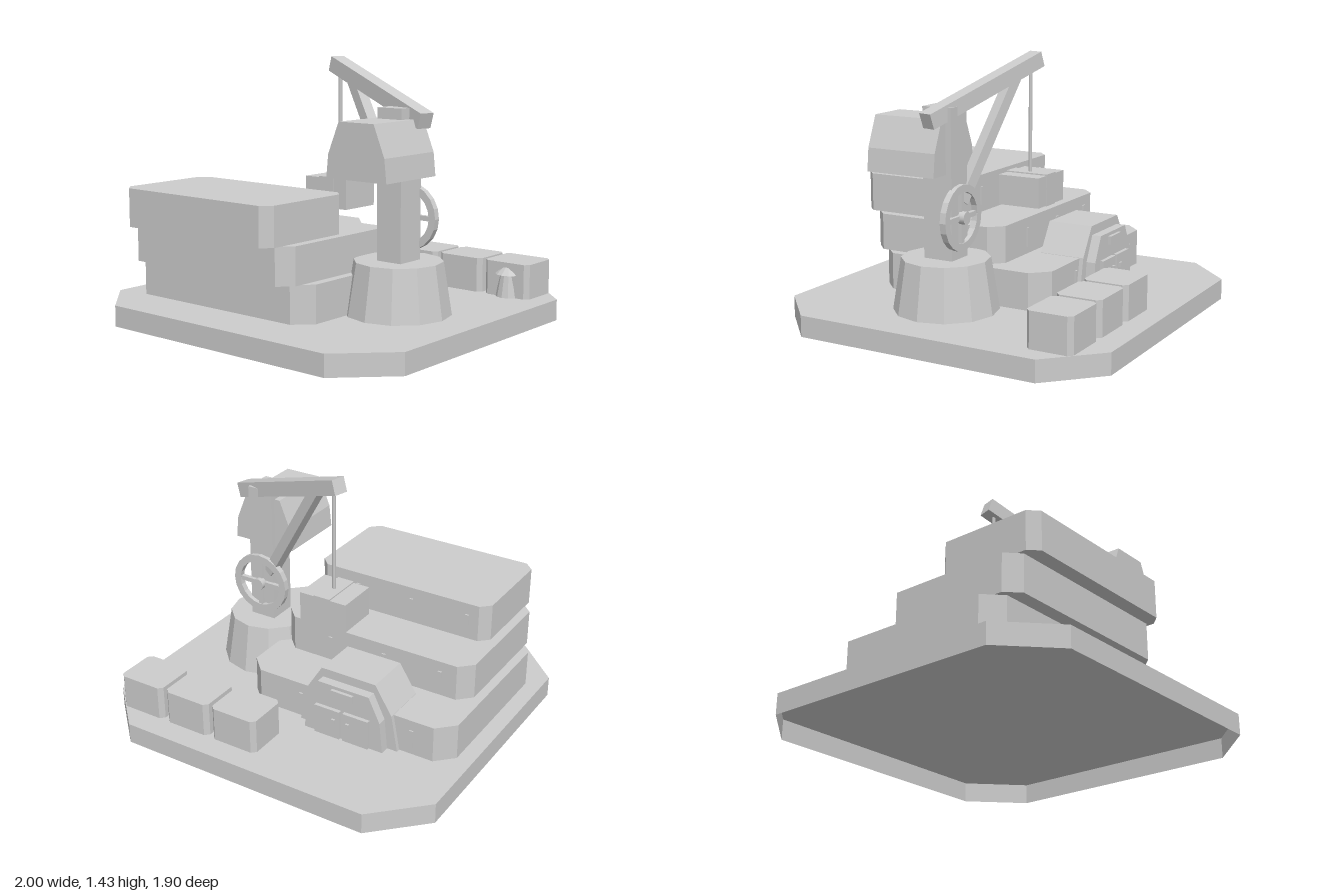
import * as THREE from 'three';

const grey = new THREE.MeshStandardMaterial({ color: 0xcccccc, side: THREE.DoubleSide });
grey.name = 'plain grey';

function add(parent, name, geometry, x = 0, y = 0, z = 0) {
  const mesh = new THREE.Mesh(geometry, grey);
  mesh.name = name;
  mesh.position.set(x, y, z);
  parent.add(mesh);
  return mesh;
}

// Box given by its lower and upper limits on each axis
function block(parent, name, x0, x1, y0, y1, z0, z1) {
  return add(parent, name, new THREE.BoxGeometry(x1 - x0, y1 - y0, z1 - z0),
    (x0 + x1) / 2, (y0 + y1) / 2, (z0 + z1) / 2);
}

// Upright slab with chamfered corners
function slab(parent, name, x0, x1, y0, y1, z0, z1, cx, cz = cx) {
  const w = (x1 - x0) / 2, d = (z1 - z0) / 2;
  const shape = new THREE.Shape([
    [w, -d + cz], [w, d - cz], [w - cx, d], [-w + cx, d],
    [-w, d - cz], [-w, -d + cz], [-w + cx, -d], [w - cx, -d],
  ].map(([x, y]) => new THREE.Vector2(x, y)));
  const geometry = new THREE.ExtrudeGeometry(shape, { depth: y1 - y0, bevelEnabled: false });
  geometry.rotateX(-Math.PI / 2);
  return add(parent, name, geometry, (x0 + x1) / 2, y0, (z0 + z1) / 2);
}

// Mirrored half profile (half width, height), bottom to top, extruded along z
function profile(parent, name, half, x, z0, z1) {
  const points = [...half, ...half.map(([px, py]) => [-px, py]).reverse()];
  const shape = new THREE.Shape(points.map(([px, py]) => new THREE.Vector2(px, py)));
  const geometry = new THREE.ExtrudeGeometry(shape, { depth: z1 - z0, bevelEnabled: false });
  return add(parent, name, geometry, x, 0, z0);
}

// Square beam between two points, kept upright
function beam(parent, name, a, b, size) {
  const from = new THREE.Vector3(...a), d = new THREE.Vector3(...b).sub(from);
  const mid = from.clone().addScaledVector(d, 0.5);
  const mesh = add(parent, name, new THREE.BoxGeometry(d.length(), size, size), mid.x, mid.y, mid.z);
  mesh.rotation.set(0, -Math.atan2(d.z, d.x), Math.atan2(d.y, Math.hypot(d.x, d.z)));
}

// Flat-faced turned shape
function turned(points, segments) {
  const geometry = new THREE.LatheGeometry(points.map(([r, y]) => new THREE.Vector2(r, y)), segments).toNonIndexed();
  geometry.computeVertexNormals();
  return geometry;
}

// Ground plate with cut corners, hollow below: its underside is raised to the top
function buildBase(root) {
  const top = 0.115;
  const { geometry } = slab(root, 'basePlate', -1, 1, 0, top, -0.95, 0.95, 0.268, 0.263);
  const { position, normal } = geometry.attributes;
  for (let i = 0; i < position.count; i++)
    if (normal.getY(i) < -0.9) position.setY(i, top - 0.002);
}

function buildStore(root) {
  const store = new THREE.Group();
  store.name = 'steppedBuilding';
  root.add(store);
  // Three storeys, each stepped forward over the one below
  const tiers = [
    [-0.91, 0.35, 0.115, 0.318, -0.382, 0.656, 0.093],
    [-0.86, 0.30, 0.318, 0.52, -0.085, 0.732, 0.073],
    [-0.81, 0.25, 0.52, 0.73, 0.21, 0.814, 0.053],
  ];
  tiers.forEach((t, i) => {
    slab(store, 'storey' + (i + 1), ...t);
    // Narrow windows on the back wall
    for (const x of [-0.69, -0.35, -0.01])
      block(store, 'window', x - 0.011, x + 0.011, t[2] + 0.04, t[2] + 0.145, t[4] - 0.009, t[4]);
  });
}

function buildEntrance(root) {
  const entrance = new THREE.Group();
  entrance.name = 'entrance';
  root.add(entrance);
  const x = -0.32;
  profile(entrance, 'entranceHall', [[0.3, 0.115], [0.262, 0.32], [0.163, 0.478]], x, -0.405, -0.145);
  profile(entrance, 'entranceFrame', [[0.24, 0.115], [0.222, 0.29], [0.155, 0.427]], x, -0.458, -0.405);
  block(entrance, 'signPlate', x - 0.065, x + 0.065, 0.362, 0.408, -0.476, -0.458);
  // Double doors and handles
  for (const s of [-1, 1]) {
    const c = x + s * 0.087;
    block(entrance, 'door', c - 0.077, c + 0.077, 0.122, 0.29, -0.48, -0.458);
    const h = x + s * 0.043;
    block(entrance, 'doorHandle', h - 0.01, h + 0.01, 0.213, 0.24, -0.492, -0.48);
  }
}

function buildCrane(root) {
  const crane = new THREE.Group();
  crane.name = 'crane';
  root.add(crane);
  const x = 0.518, z = 0.105;
  // Tapered pedestal, post and cabin
  const pedestal = new THREE.CylinderGeometry(0.235, 0.28, 0.28, 12).toNonIndexed();
  pedestal.computeVertexNormals();
  add(crane, 'pedestal', pedestal, x, 0.255, z);
  block(crane, 'post', x - 0.076, x + 0.076, 0.39, 1.187, z - 0.085, z + 0.085);
  profile(crane, 'cabin', [[0.19, 0.843], [0.177, 0.966], [0.11, 1.13]], x, 0.052, 0.458);

  // Boom, brace and hoist cable
  beam(crane, 'boom', [-0.079, 1.386, -0.106], [0.682, 1.125, 0.106], 0.083);
  beam(crane, 'brace', [0.08, 1.32, -0.06], [0.47, 0.685, 0.045], 0.06);
  add(crane, 'cable', new THREE.CylinderGeometry(0.011, 0.011, 0.6, 6), -0.035, 1.06, -0.089);

  // Hanging crate with a raised band
  block(crane, 'hangingCrate', -0.184, 0.102, 0.604, 0.768, -0.214, 0.03);
  block(crane, 'crateBand', -0.085, 0.014, 0.601, 0.775, -0.217, 0.033);

  // Handwheel on the back of the post
  const wheel = new THREE.Group();
  wheel.name = 'handwheel';
  wheel.position.set(x, 0.613, 0.012);
  crane.add(wheel);
  const rim = turned([[0.134, -0.017], [0.175, -0.017], [0.175, 0.017], [0.134, 0.017], [0.134, -0.017]], 20);
  rim.rotateX(Math.PI / 2);
  add(wheel, 'wheelRim', rim);
  add(wheel, 'wheelSpoke', new THREE.BoxGeometry(0.3, 0.026, 0.024));
  add(wheel, 'wheelSpoke', new THREE.BoxGeometry(0.026, 0.3, 0.024));
  const hub = new THREE.CylinderGeometry(0.035, 0.035, 0.036, 12);
  hub.rotateX(Math.PI / 2);
  add(wheel, 'wheelHub', hub, 0, 0, -0.02);
}

export function createModel() {
  const root = new THREE.Group();
  root.name = 'cargoYard';

  buildBase(root);
  buildStore(root);
  buildEntrance(root);
  buildCrane(root);

  // Row of cargo containers
  for (let i = 0; i < 3; i++) {
    const x0 = -0.003 + i * 0.304;
    slab(root, 'container', x0, x0 + 0.28, 0.115, 0.306, -0.818, -0.567, 0.024);
  }
  // Small capped bollard
  add(root, 'bollard', turned([
    [0.07, 0.115], [0.047, 0.24], [0.075, 0.24], [0.03, 0.28], [0.026, 0.295], [0, 0.3],
  ], 12), 0.748, 0, -0.597);
  return root;
}
